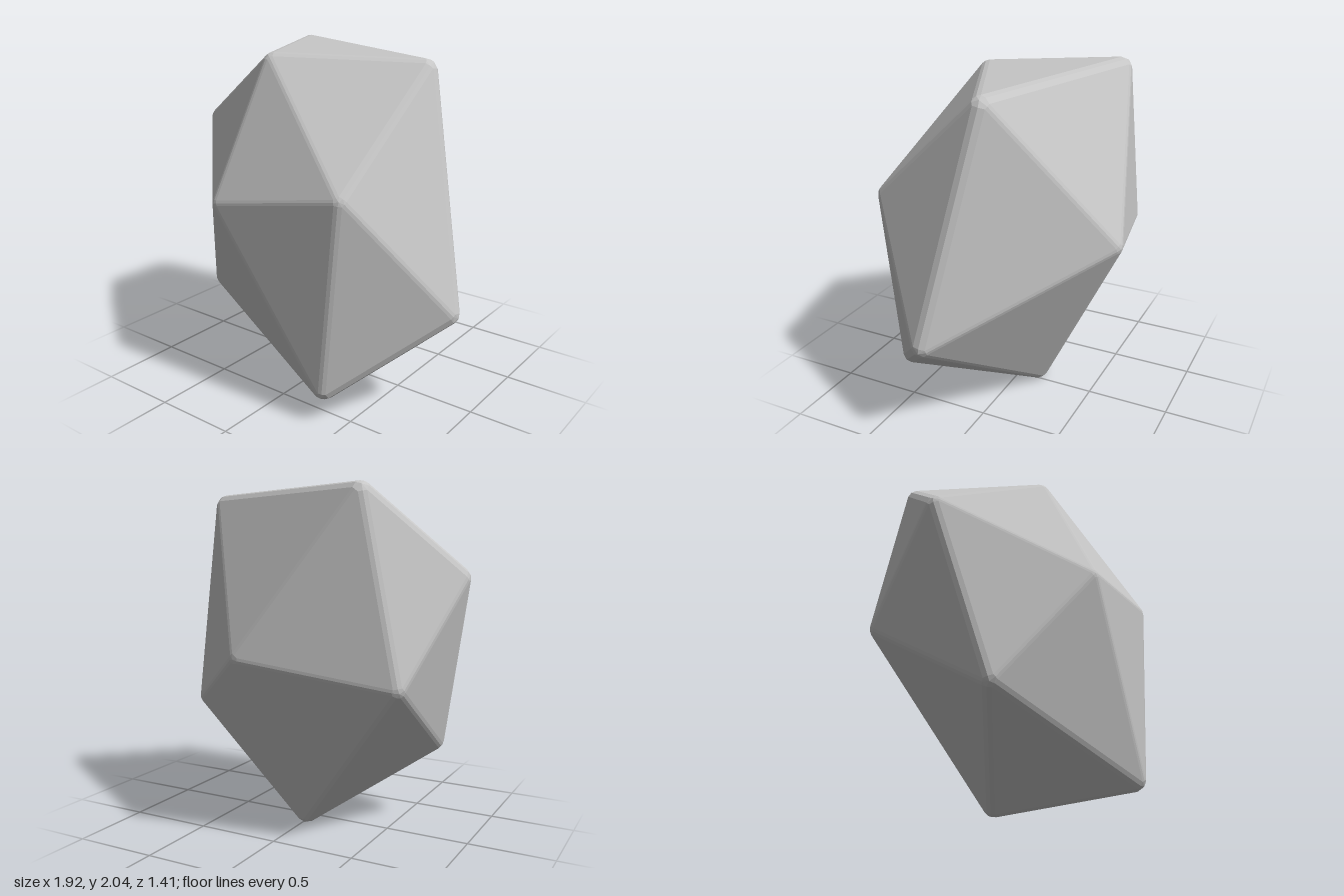
import * as THREE from 'three';
import { ConvexGeometry } from 'three/addons/geometries/ConvexGeometry.js';

// Twelve corners of the boulder, a stretched and jittered icosahedron
const CORNERS = [
  [-0.53, 2.0, -0.47], [-0.21, 1.98, 0.33], [0.62, 1.96, -0.08],
  [-0.96, 1.52, 0.04], [-0.32, 1.18, 0.7], [0.52, 1.33, 0.65],
  [-0.74, 0.47, 0.28], [0.38, 0.15, 0.63], [0.96, 0.62, 0.14],
  [-0.02, -0.01, -0.16], [0.13, 1.07, -0.7], [-0.77, 0.93, -0.5],
].map((p) => new THREE.Vector3(...p));

// Every corner with the normals of the faces that meet there
function facesAroundCorners(points) {
  const pos = new ConvexGeometry(points).getAttribute('position');
  const around = points.map(() => []);
  for (let i = 0; i < pos.count; i += 3) {
    const tri = [0, 1, 2].map((k) => new THREE.Vector3().fromBufferAttribute(pos, i + k));
    const normal = new THREE.Triangle(...tri).getNormal(new THREE.Vector3());
    const ids = tri.map((v) => points.findIndex((p) => p.distanceTo(v) < 1e-4));
    ids.forEach((id) => around[id].push({ normal, ids }));
  }
  return around;
}

// Convex hull whose edges and corners carry a narrow two-step bevel
function beveledHull(points, radius) {
  const out = [];
  facesAroundCorners(points).forEach((faces, id) => {
    const tip = new THREE.Vector3();
    faces.forEach((f) => tip.add(f.normal));
    tip.normalize();
    const centre = points[id].clone().addScaledVector(tip, -radius);
    const push = (n) => out.push(centre.clone().addScaledVector(n, radius));
    push(tip);
    faces.forEach((f, i) => {
      push(f.normal);
      // middle line of the bevel along each shared edge
      faces.slice(i + 1).forEach((g) => {
        if (f.ids.filter((v) => g.ids.includes(v)).length === 2) {
          push(f.normal.clone().add(g.normal).normalize());
        }
      });
    });
  });
  return new ConvexGeometry(out);
}

export function createModel() {
  const stone = new THREE.MeshStandardMaterial({ color: 0xc6c6c6 });
  stone.name = 'light grey stone';

  const geometry = beveledHull(CORNERS, 0.065);

  // Stand on the ground, centred
  geometry.computeBoundingBox();
  const box = geometry.boundingBox;
  const c = box.getCenter(new THREE.Vector3());
  geometry.translate(-c.x, -box.min.y, -c.z);

  const boulder = new THREE.Mesh(geometry, stone);
  boulder.name = 'boulder';
  const group = new THREE.Group();
  group.name = 'rock';
  group.add(boulder);
  return group;
}
